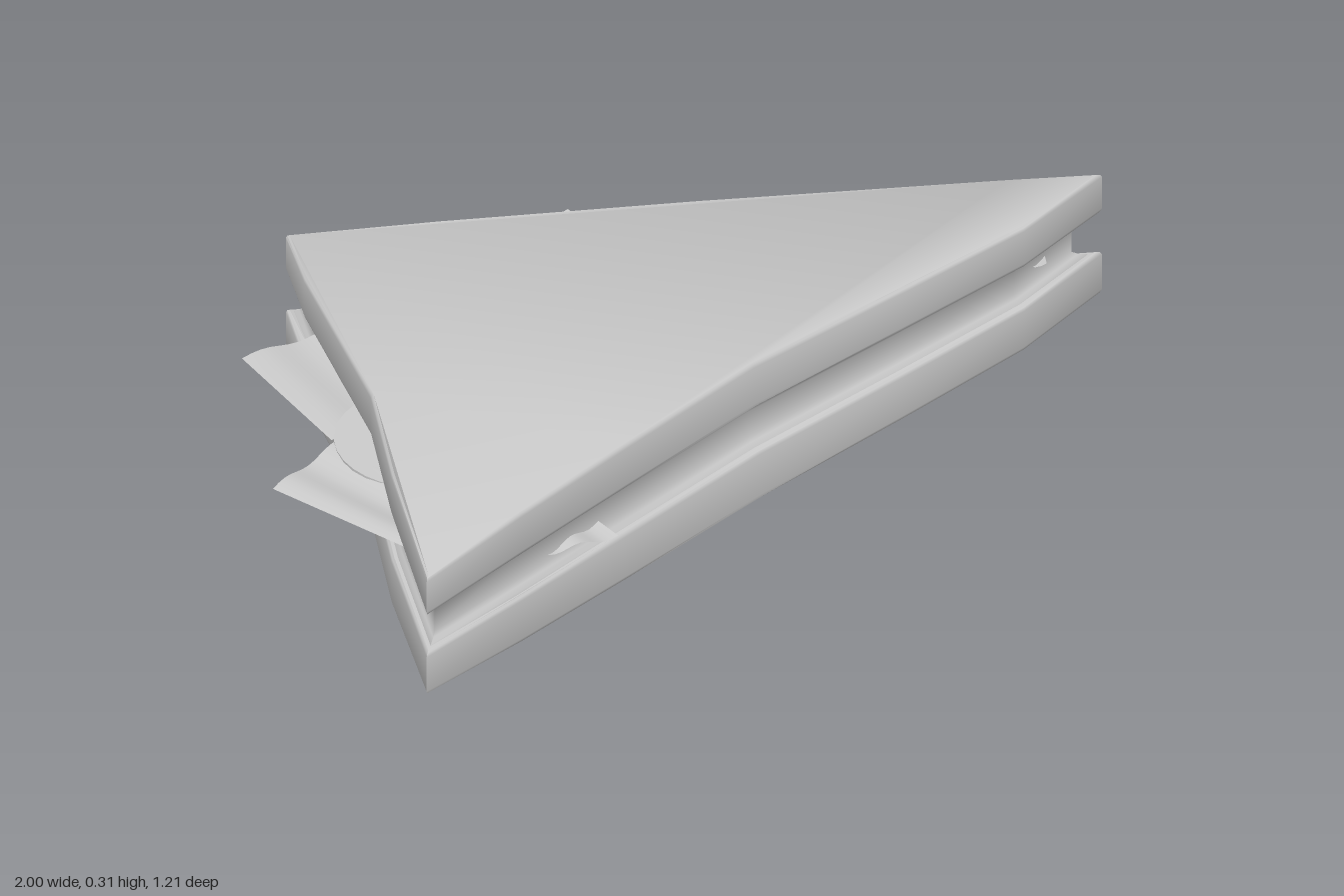
import * as THREE from 'three';
import { toCreasedNormals } from 'three/addons/utils/BufferGeometryUtils.js';

const grey = new THREE.MeshStandardMaterial({ color: 0xcccccc });
const thin = new THREE.MeshStandardMaterial({ color: 0xcccccc, side: THREE.DoubleSide });

// Triangular outline: x, z, lift of the top, lift of the bottom, inward lean with height
const outline = [
  [-1, 0.6, -0.012, 0.014, 0], [-0.72, 0.55, 0.01, 0.004, 0], [-0.4, 0.488, 0.006, 0, 0.05],
  [0, 0.412, 0, 0, 0.1], [0.4, 0.355, -0.005, 0, 0.05], [0.75, 0.3, -0.01, 0, 0],
  [1, 0.232, -0.012, 0.007, 0], [0.84, 0.132, -0.012, 0.002, 0], [0.3, -0.178, -0.005, 0, 0],
  [-0.15, -0.437, -0.006, 0.003, 0], [-0.42, -0.59, -0.01, 0.018, 0], [-0.5, -0.43, -0.005, 0.005, 0],
  [-0.67, 0, 0, 0, 0], [-0.83, 0.27, 0.008, 0, 0],
];
const n = outline.length;

// Mitred outward direction at an outline corner
function miter(i) {
  const [p, q, r] = [outline[(i + n - 1) % n], outline[i], outline[(i + 1) % n]];
  const normal = (a, b) => new THREE.Vector2(a[1] - b[1], b[0] - a[0]).normalize();
  const m = normal(p, q), k = normal(q, r);
  return m.clone().add(k).divideScalar(1 + m.dot(k));
}
const miters = outline.map((_, i) => miter(i));

// Closed slab through rings of [height, inset], following the outline
function slab(name, rings) {
  const positions = [], index = [];
  for (const [y, inset] of rings) {
    outline.forEach(([x, z, top, bottom, lean], i) => {
      positions.push(
        x - miters[i].x * inset,
        y + THREE.MathUtils.lerp(bottom, top, y / 0.3),
        z - miters[i].y * inset - lean * y);
    });
  }
  for (let r = 0; r < rings.length - 1; r++) {
    for (let i = 0; i < n; i++) {
      const a = r * n + i, b = r * n + (i + 1) % n;
      index.push(a, b, b + n, a, b + n, a + n);
    }
  }
  const flat = outline.map(([x, z]) => new THREE.Vector2(x, -z));
  const last = (rings.length - 1) * n;
  for (const [a, b, c] of THREE.ShapeUtils.triangulateShape(flat, [])) {
    index.push(c, b, a, last + a, last + b, last + c);
  }
  const geometry = new THREE.BufferGeometry();
  geometry.setAttribute('position', new THREE.Float32BufferAttribute(positions, 3));
  geometry.setIndex(index);
  const mesh = new THREE.Mesh(toCreasedNormals(geometry, 0.7), grey);
  mesh.name = name;
  return mesh;
}

// Bread slice with softly rounded rims
function slice(name, y0, y1) {
  return slab(name, [
    [y0, 0.006], [y0 + 0.003, 0.002], [y0 + 0.01, 0],
    [y1 - 0.01, 0], [y1 - 0.003, 0.002], [y1, 0.006],
  ]);
}

// Thin leaf stretched over four corners a-b-c-d, rippled along the a-b direction
function leaf(name, [a, b, c, d], waves, height) {
  const geometry = new THREE.PlaneGeometry(1, 1, Math.max(8, waves * 8), 6);
  const pos = geometry.attributes.position;
  const corners = [a, b, c, d].map((p) => new THREE.Vector3(...p));
  const near = new THREE.Vector3(), far = new THREE.Vector3();
  for (let i = 0; i < pos.count; i++) {
    const u = pos.getX(i) + 0.5, v = 0.5 - pos.getY(i);
    near.lerpVectors(corners[0], corners[1], u);
    far.lerpVectors(corners[3], corners[2], u);
    near.lerp(far, v);
    pos.setXYZ(i, near.x, near.y + height * Math.sin(u * waves * Math.PI * 2), near.z);
  }
  geometry.computeVertexNormals();
  const mesh = new THREE.Mesh(geometry, thin);
  mesh.name = name;
  return mesh;
}

// Round filling slice, slightly tilted
function disc(name, x, y, z, radius, tilt) {
  const mesh = new THREE.Mesh(new THREE.CylinderGeometry(radius, radius, 0.026, 32), grey);
  mesh.position.set(x, y, z);
  mesh.rotation.set(tilt, 0, tilt);
  mesh.name = name;
  return mesh;
}

export function createModel() {
  const group = new THREE.Group();
  group.name = 'sandwich';

  // Bread and the recessed filling with its concave wall
  group.add(slice('bottomBread', 0, 0.107));
  group.add(slab('filling', [
    [0.1, 0.012], [0.109, 0.014], [0.116, 0.022], [0.126, 0.028],
    [0.18, 0.028], [0.19, 0.022], [0.197, 0.014], [0.207, 0.012],
  ]));
  group.add(slice('topBread', 0.202, 0.3));

  // Tomato slices peeking out of the back and right edges
  group.add(disc('backTomato', 0.315, 0.127, 0.03, 0.172, -0.04));
  group.add(disc('sideTomato', -0.55, 0.15, 0.02, 0.18, 0.03));

  // Long rippled leaf along the back edge
  group.add(leaf('longLettuce',
    [[-0.31, 0.163, -0.61], [0.93, 0.16, 0.1], [0.83, 0.16, 0.27], [-0.41, 0.165, -0.43]], 16, 0.007));

  // Smaller loose leaves
  group.add(leaf('backLettuce',
    [[-0.25, 0.185, -0.5], [0.18, 0.188, -0.445], [0.14, 0.165, -0.1], [-0.29, 0.165, -0.15]], 3, 0.006));
  group.add(leaf('leftLettuce',
    [[0.5, 0.165, -0.1], [0.87, 0.14, -0.05], [0.835, 0.17, 0.2], [0.46, 0.17, 0.2]], 2, 0.007));
  group.add(leaf('rearCornerLettuce',
    [[-0.63, 0.14, -0.465], [-0.3, 0.165, -0.4], [-0.36, 0.165, -0.04], [-0.69, 0.15, -0.1]], 2, 0.006));
  group.add(leaf('sideLettuce',
    [[-0.89, 0.145, -0.035], [-0.45, 0.165, -0.14], [-0.46, 0.147, 0.53], [-0.79, 0.15, 0.465]], 3, 0.006));
  return group;
}
